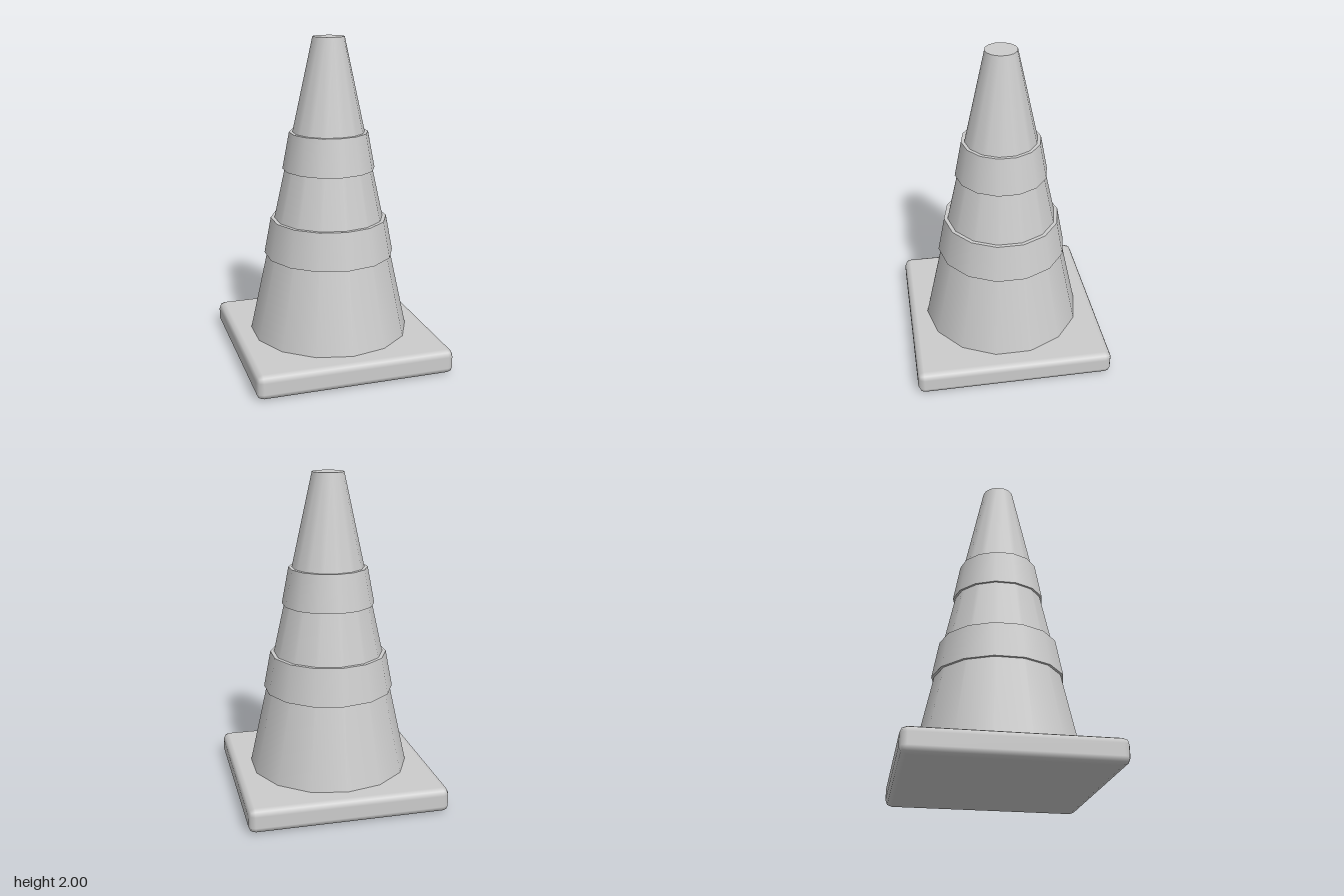
import * as THREE from 'three';
import { RoundedBoxGeometry } from 'three/addons/geometries/RoundedBoxGeometry.js';

const SIDES = 14;

export function createModel() {
  const group = new THREE.Group();
  group.name = 'trafficCone';
  const grey = new THREE.MeshStandardMaterial({ color: 0xcccccc });
  grey.name = 'light grey';

  function add(name, geometry, y) {
    const mesh = new THREE.Mesh(geometry, grey);
    mesh.name = name;
    mesh.position.y = y;
    group.add(mesh);
  }

  // Tapered, capped section standing between two heights
  function frustum(name, y0, y1, r0, r1) {
    add(name, new THREE.CylinderGeometry(r1, r0, y1 - y0, SIDES), (y0 + y1) / 2);
  }

  // Square foot with softly bevelled edges
  add('base', new RoundedBoxGeometry(1.226, 0.15, 1.226, 1, 0.04), 0.075);

  // Main cone and its two raised collars
  frustum('coneBody', 0.15, 2, 0.5, 0.097);
  frustum('lowerBand', 0.657, 0.885, 0.406, 0.363);
  frustum('upperBand', 1.197, 1.425, 0.286, 0.243);

  return group;
}
